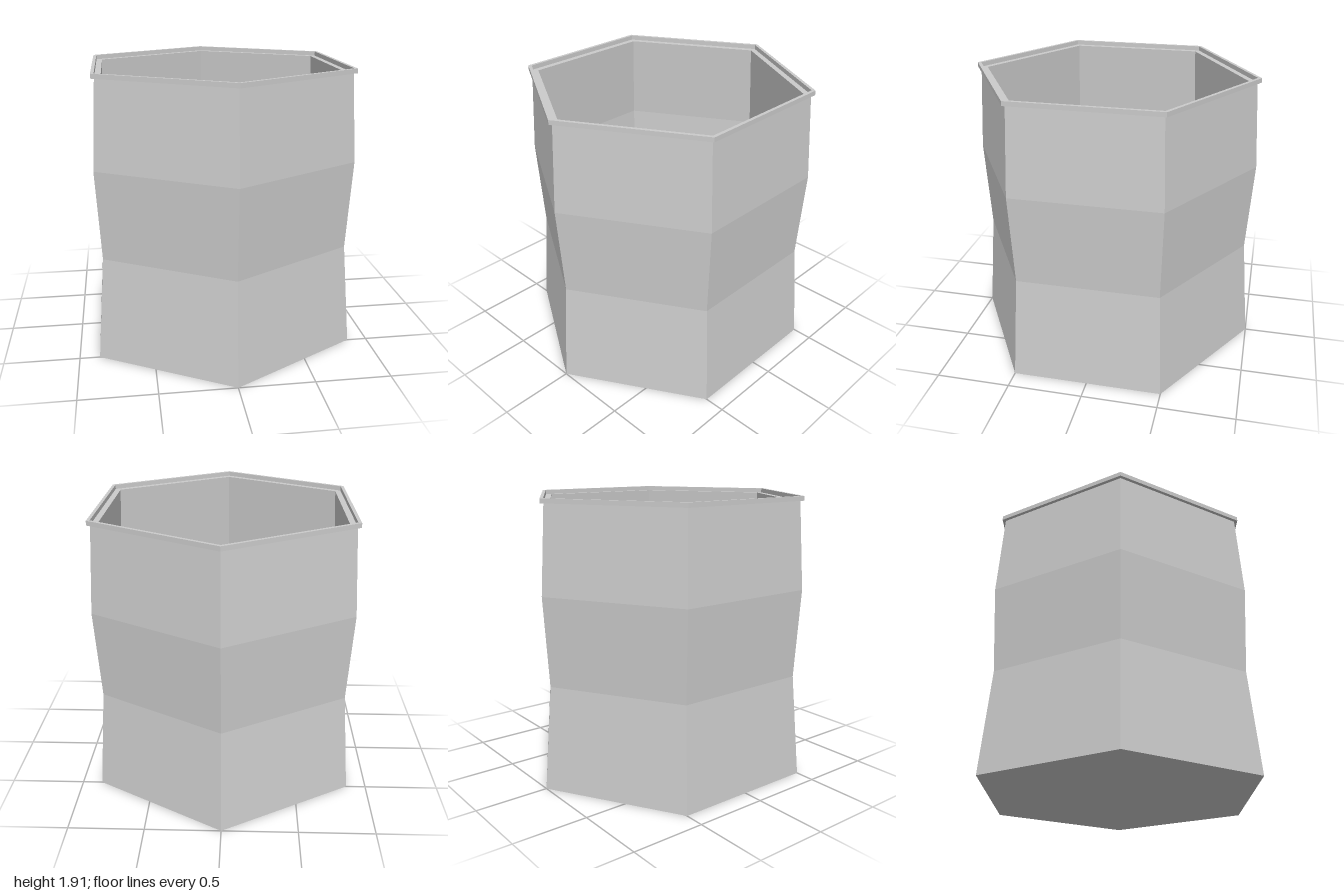
import * as THREE from 'three';

const SIDES = 6;
const WALL = 0.045;
const FLOOR = 0.05;

// Outer silhouette: [corner radius, height], bottom to top
const OUTER = [[1, 0], [0.94, 0.7], [0.977, 1.3], [0.94, 1.88]];

const material = new THREE.MeshStandardMaterial({ color: 0xcccccc, flatShading: true });

// Hexagonal solid from a profile, with corners on the z axis
function hexLathe(name, profile) {
  const points = profile.map(([r, y]) => new THREE.Vector2(r, y));
  const mesh = new THREE.Mesh(new THREE.LatheGeometry(points, SIDES), material);
  mesh.name = name;
  return mesh;
}

export function createModel() {
  const group = new THREE.Group();
  group.name = 'hexagonalContainer';

  // Hollow body: underside, wavy outer wall, top ledge, matching inner wall, floor
  const inner = OUTER.map(([r, y]) => [r - WALL, Math.max(y, FLOOR)]).reverse();
  group.add(hexLathe('body', [[0, 0], ...OUTER, ...inner, [0, FLOOR]]));

  // Thin raised rim overhanging the top edge
  const [rimIn, rimOut, rimLow, rimHigh] = [0.94, 0.965, 1.88, 1.91];
  group.add(hexLathe('rim', [
    [rimIn, rimLow], [rimOut, rimLow], [rimOut, rimHigh], [rimIn, rimHigh], [rimIn, rimLow],
  ]));

  return group;
}
